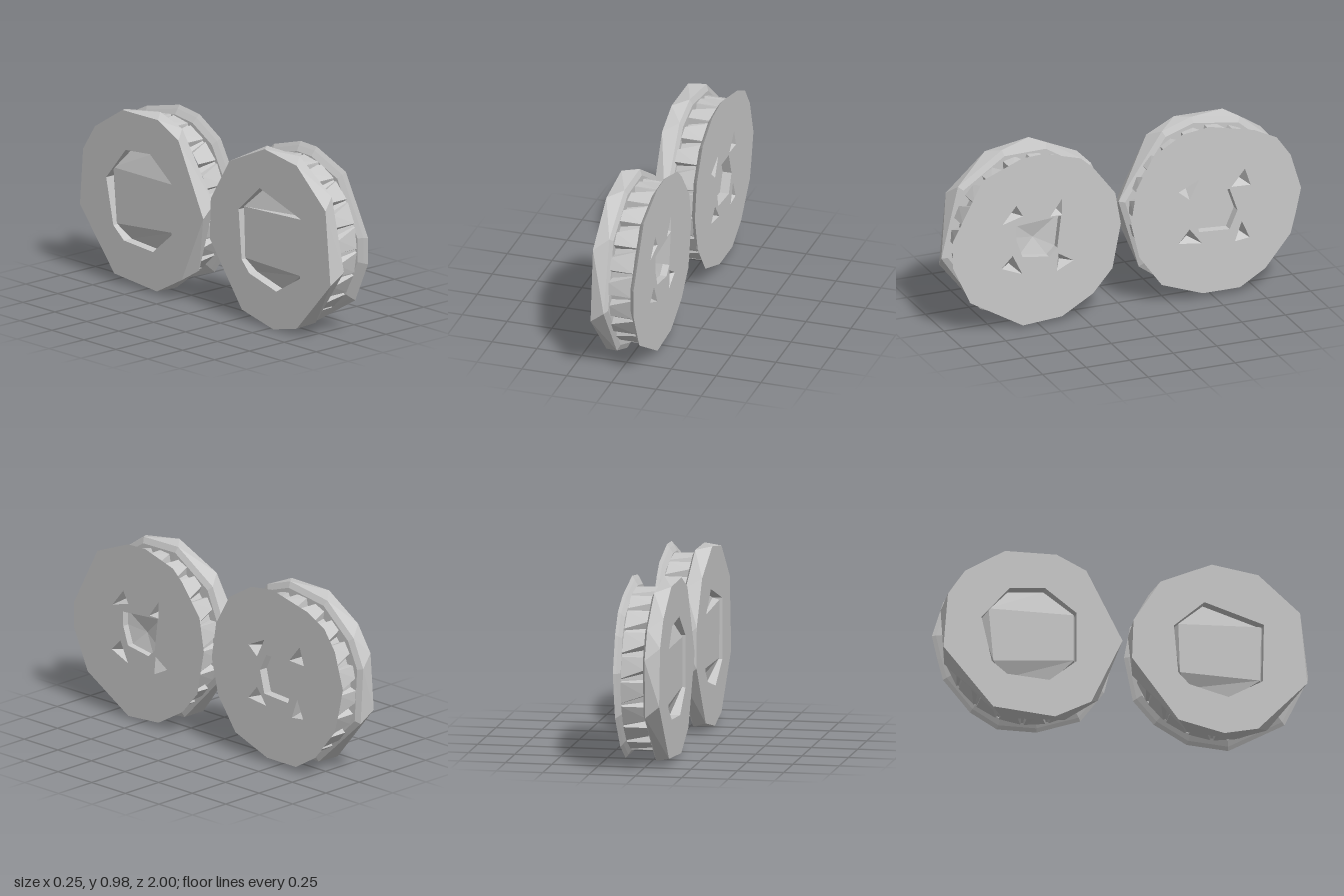
import * as THREE from 'three';

const grey = new THREE.MeshStandardMaterial({ color: 0xc8c8c8, flatShading: true });
grey.name = 'plain grey';

// Outlines are lists of [z, y], ordered from +z towards +y.
const ordered = (pts) => {
  const area = pts.reduce((s, [z, y], i) => {
    const [z2, y2] = pts[(i + 1) % pts.length];
    return s + z * y2 - z2 * y;
  }, 0);
  return area < 0 ? [...pts].reverse() : pts;
};
const centre = (pts) => [0, 1].map((k) => pts.reduce((s, p) => s + p[k], 0) / pts.length);
const scaled = (pts, s, c = centre(pts)) =>
  pts.map(([z, y]) => [c[0] + (z - c[0]) * s, c[1] + (y - c[1]) * s]);
const polar = (degrees, r, c, twist = 0) => degrees.map((d) => {
  const a = THREE.MathUtils.degToRad(d + twist);
  return [c[0] + Math.cos(a) * r, c[1] + Math.sin(a) * r];
});

// Skin between outlines: faces out where x rises, faces in where x falls.
function loft(name, rings) {
  const pos = [], index = [], n = rings[0][1].length;
  for (const [x, pts] of rings) for (const [z, y] of pts) pos.push(x, y, z);
  for (let i = 0; i < rings.length - 1; i++) {
    for (let j = 0; j < n; j++) {
      const a = i * n + j, b = i * n + (j + 1) % n;
      index.push(a, a + n, b, b, a + n, b + n);
    }
  }
  const g = new THREE.BufferGeometry();
  g.setAttribute('position', new THREE.Float32BufferAttribute(pos, 3));
  g.setIndex(index);
  const flat = g.toNonIndexed();
  flat.computeVertexNormals();
  const mesh = new THREE.Mesh(flat, grey);
  mesh.name = name;
  return mesh;
}

// Flat side face at x, looking towards +x (side 1) or -x (side -1).
function face(name, x, side, outline, holes = []) {
  const path = (pts) => pts.map(([z, y]) => new THREE.Vector2(-side * z, y));
  const shape = new THREE.Shape(path(outline));
  holes.forEach((h) => shape.holes.push(new THREE.Path(path(h))));
  const g = new THREE.ShapeGeometry(shape);
  g.rotateY(side * Math.PI / 2).translate(x, 0, 0);
  const mesh = new THREE.Mesh(g, grey);
  mesh.name = name;
  return mesh;
}

// Toothed drum outline: four points for each tooth.
function toothRing(c, top, valley, valleyWidth) {
  const pts = [], teeth = 20;
  for (let i = 0; i < teeth; i++) {
    for (const [t, r] of [[0, top], [1 - valleyWidth, top],
      [1 - valleyWidth * 0.75, valley], [1 - valleyWidth * 0.2, valley]]) {
      const a = (i + t) / teeth * Math.PI * 2;
      pts.push([c[0] + Math.cos(a) * r, c[1] + Math.sin(a) * r]);
    }
  }
  return pts;
}

function buildWheel({ name, c, disc, hub, pockets, flange, recess, boss, hubWall, hubTip }) {
  const wheel = new THREE.Group();
  wheel.name = name;
  disc = ordered(disc);
  hub = ordered(hub);
  pockets = pockets.map(ordered);

  // Thin flared disc on the left with a hub hollow and four small pockets
  wheel.add(loft('thinDiscRim', [
    [0.089, scaled(disc, 0.8, c)], [0.09, scaled(disc, 0.9, c)],
    [0.108, scaled(disc, 0.96, c)], [0.122, disc]]));
  wheel.add(face('thinDiscFace', 0.122, 1, disc, [hub, ...pockets]));
  wheel.add(loft('hubHollow', [[0.122, hub], [hubWall, hub], [hubTip, scaled(hub, 0)]]));
  pockets.forEach((p) => wheel.add(loft('pocket', [[0.122, p], [0.07, scaled(p, 0)]])));

  // Toothed drum between the two flanges
  wheel.add(loft('toothedDrum', [
    [-0.035, toothRing(c, 0.435, 0.395, 0.5)], [0.092, toothRing(c, 0.435, 0.425, 0.15)]]));

  // Thick flange on the right, open in the middle
  const outer = polar(flange, 0.49, c), well = polar(recess, 0.28, c);
  wheel.add(loft('thickFlangeRim', [
    [-0.125, outer], [-0.046, polar(flange, 0.492, c, 8)],
    [-0.031, polar(flange, 0.46, c, 8)], [-0.03, polar(flange, 0.38, c, 8)]]));
  wheel.add(face('thickFlangeFace', -0.125, -1, outer, [well]));
  wheel.add(loft('recessWall', [[-0.07, well], [-0.125, well]]));

  // Four-cornered boss rising inside the recess
  const bossTop = polar(boss, 0.265, c);
  wheel.add(loft('bossSides', [[-0.11, bossTop], [-0.07, well]]));
  const corners = bossTop.filter((p, i) => boss[i] !== boss[i - 1]);
  wheel.add(face('bossFace', -0.11, -1, corners));
  return wheel;
}

export function createModel() {
  const model = new THREE.Group();
  model.name = 'wheelPair';
  model.add(buildWheel({
    name: 'frontWheel', c: [0.512, 0.492], hubWall: 0.085, hubTip: 0.06,
    disc: [[0.6, 0.975], [0.474, 0.98], [0.265, 0.92], [0.195, 0.857], [0.067, 0.69],
      [0.035, 0.51], [0.083, 0.262], [0.195, 0.134], [0.372, 0.032], [0.597, 0.016],
      [0.9, 0.193], [1, 0.412], [1, 0.557], [0.827, 0.884]],
    hub: [[0.635, 0.59], [0.378, 0.61], [0.4, 0.43], [0.447, 0.386], [0.6, 0.41], [0.635, 0.51]],
    pockets: [
      [[0.635, 0.707], [0.715, 0.61], [0.597, 0.643]],
      [[0.372, 0.707], [0.44, 0.615], [0.372, 0.615]],
      [[0.656, 0.423], [0.72, 0.36], [0.6, 0.31]],
      [[0.394, 0.396], [0.404, 0.295], [0.308, 0.343]]],
    flange: [-169, -118, -88, -66, -19, 30, 66, 96, 132, 165],
    recess: [-146, -128, -82, -37, 35, 109, 156],
    boss: [-146, -146, -37, -37, 35, 150, 150],
  }));
  model.add(buildWheel({
    name: 'rearWheel', c: [-0.51, 0.492], hubWall: 0.072, hubTip: 0.072,
    disc: [[-0.319, 0.96], [-0.474, 0.98], [-0.731, 0.92], [-0.86, 0.857], [-0.94, 0.745],
      [-1, 0.546], [-0.97, 0.41], [-0.94, 0.295], [-0.795, 0.118], [-0.65, 0.032],
      [-0.437, 0.032], [-0.2, 0.118], [-0.072, 0.295], [-0.024, 0.493], [-0.056, 0.69],
      [-0.153, 0.862]],
    hub: [[-0.43, 0.605], [-0.59, 0.605], [-0.635, 0.477], [-0.59, 0.375], [-0.415, 0.386],
      [-0.383, 0.51]],
    pockets: [
      [[-0.415, 0.686], [-0.297, 0.632], [-0.36, 0.58]],
      [[-0.678, 0.707], [-0.71, 0.61], [-0.6, 0.615]],
      [[-0.36, 0.41], [-0.297, 0.337], [-0.43, 0.32]],
      [[-0.66, 0.41], [-0.62, 0.3], [-0.704, 0.31]]],
    flange: [-166, -115, -75, -49, 0, 53, 74, 107, 137, 157],
    recess: [-140, -118, -70, -30, 30, 75, 115, 165],
    boss: [-140, -140, -30, -30, 30, 30, 150, 150],
  }));
  return model;
}
